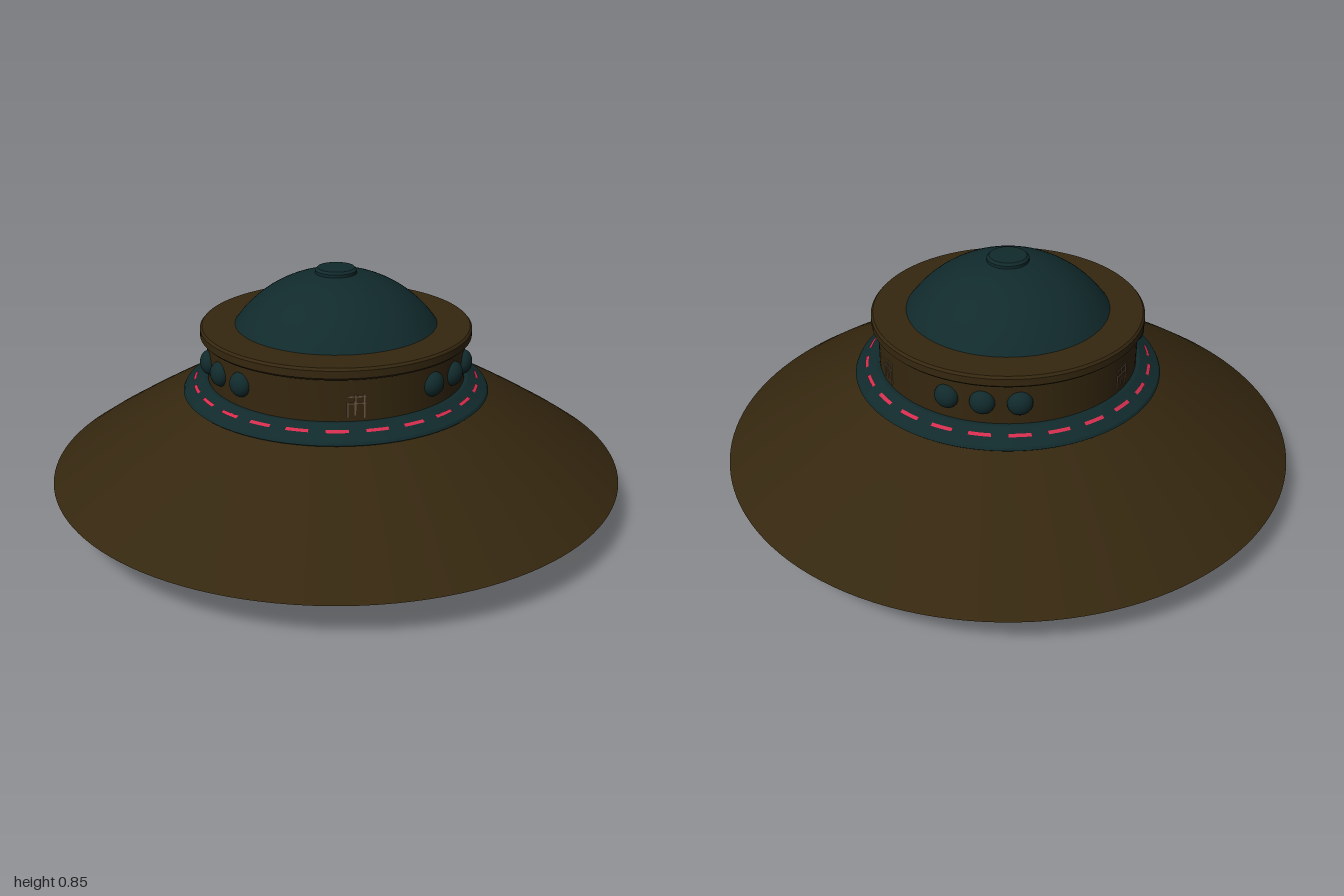
import * as THREE from 'three';
import { toCreasedNormals } from 'three/addons/utils/BufferGeometryUtils.js';

const mat = (name, color, side = THREE.FrontSide) => {
  const m = new THREE.MeshStandardMaterial({ color, side });
  m.name = name;
  return m;
};

export function createModel() {
  const bronze = mat('dark bronze', 0x35270f);
  const teal = mat('dark teal', 0x112a2c);
  const red = mat('signal red', 0xd42c4c, THREE.DoubleSide);
  const steel = mat('blue steel', 0x64818a);
  const white = mat('lamp white', 0xe8e8e8);
  const rust = mat('rust brown', 0x5a4038);
  const scuff = mat('worn metal', 0x6a5643);

  const model = new THREE.Group();
  model.name = 'flyingSaucer';

  const add = (name, geo, material, parent = model, pos = [0, 0, 0]) => {
    const mesh = new THREE.Mesh(geo, material);
    mesh.name = name;
    mesh.position.set(...pos);
    parent.add(mesh);
    return mesh;
  };
  const box = (name, size, material, parent, pos) =>
    add(name, new THREE.BoxGeometry(...size), material, parent, pos);
  // Turned part with crisp edges; profile runs from the bottom upwards
  const turned = (name, profile, material, segments = 96) => {
    const points = profile.map(([r, y]) => new THREE.Vector2(r, y));
    return add(name, toCreasedNormals(new THREE.LatheGeometry(points, segments), 0.4), material);
  };
  // Group turned about the vertical axis; its local +z points outwards
  const spoke = (name, degrees) => {
    const g = new THREE.Group();
    g.name = name;
    g.rotation.y = THREE.MathUtils.degToRad(degrees);
    model.add(g);
    return g;
  };

  // Saucer with recessed underside
  turned('saucerHull', [
    [0, 0.2], [0.8, 0.2], [0.87, 0.175], [0.95, 0.15], [0.99, 0.138], [1, 0.142],
    [0.92, 0.197], [0.84, 0.247], [0.76, 0.296], [0.68, 0.343], [0.6, 0.388], [0.52, 0.43],
  ], bronze, 128);

  // Sloped collar with a dashed ring of lights
  turned('collar', [[0.52, 0.415], [0.535, 0.428], [0.53, 0.437], [0.462, 0.474], [0.44, 0.474]], teal);
  const dash = [new THREE.Vector2(0.5, 0.4565), new THREE.Vector2(0.489, 0.4625)];
  for (let i = 0; i < 24; i++) {
    const start = (i / 24) * Math.PI * 2 - 0.075;
    add('collarLight', new THREE.LatheGeometry(dash, 4, start, 0.15), red);
  }

  // Tower and overhanging rim
  turned('tower', [[0.449, 0.46], [0.449, 0.63]], bronze);
  turned('towerRim', [
    [0.44, 0.618], [0.462, 0.62], [0.47, 0.628], [0.47, 0.653], [0.463, 0.661], [0, 0.661],
  ], bronze);

  // Dome as a spherical cap, with a button on top
  const dome = [];
  for (let i = 0; i <= 16; i++) {
    const a = 0.95 * (1 - i / 16);
    dome.push([0.43 * Math.sin(a), 0.412 + 0.43 * Math.cos(a)]);
  }
  turned('dome', dome, teal, 64);
  turned('domeCap', [[0.072, 0.825], [0.072, 0.846], [0.064, 0.854], [0, 0.855]], teal, 40);

  // Central hub under the hull
  turned('hub', [
    [0, 0.003], [0.15, 0.052], [0.15, 0.078], [0.172, 0.088], [0.34, 0.134],
    [0.352, 0.143], [0.352, 0.2],
  ], steel, 64);

  const bulb = new THREE.SphereGeometry(0.137, 40, 20, 0, Math.PI * 2, Math.PI / 2, Math.PI / 2);
  const porthole = new THREE.SphereGeometry(0.042, 24, 16);
  for (const angle of [90, 210, 330]) {
    // Hemispherical lamp
    add('landingBulb', bulb, white, spoke('bulbMount', angle), [0, 0.195, 0.58]);

    // Three bulging portholes
    for (const offset of [-15.5, 0, 15.5]) {
      add('porthole', porthole, teal, spoke('portholeMount', angle + offset), [0, 0.551, 0.447])
        .scale.z = 0.75;
    }

    // Folded landing leg, with hinge block and end fittings
    const leg = spoke('landingLeg', angle + 60);
    box('legPanel', [0.14, 0.035, 0.46], teal, leg, [0, 0.185, 0.57]);
    box('legGroove', [0.09, 0.004, 0.3], teal, leg, [0, 0.167, 0.6]);
    box('legHinge', [0.15, 0.05, 0.12], rust, leg, [0, 0.178, 0.42]);
    for (const x of [-0.045, 0, 0.045]) {
      for (const z of [0.39, 0.45]) box('hingeRivet', [0.014, 0.004, 0.014], scuff, leg, [x, 0.152, z]);
    }
    box('legEndStrip', [0.09, 0.004, 0.006], white, leg, [0, 0.166, 0.775]);
    box('legEndStud', [0.015, 0.005, 0.015], white, leg, [0.055, 0.166, 0.785]);
    box('legMidStud', [0.02, 0.005, 0.006], white, leg, [0, 0.164, 0.6]);

    // Worn grating on the tower wall
    const worn = spoke('wornGrating', angle + 68);
    [[-0.03, 0.515, 0.05], [-0.005, 0.53, 0.07], [0.025, 0.525, 0.08]].forEach(([x, y, h]) =>
      box('gratingBar', [0.005, h, 0.004], scuff, worn, [x, y, 0.449]));
    for (const y of [0.535, 0.558]) box('gratingRail', [0.06, 0.004, 0.004], scuff, worn, [0, y, 0.449]);
  }

  return model;
}
